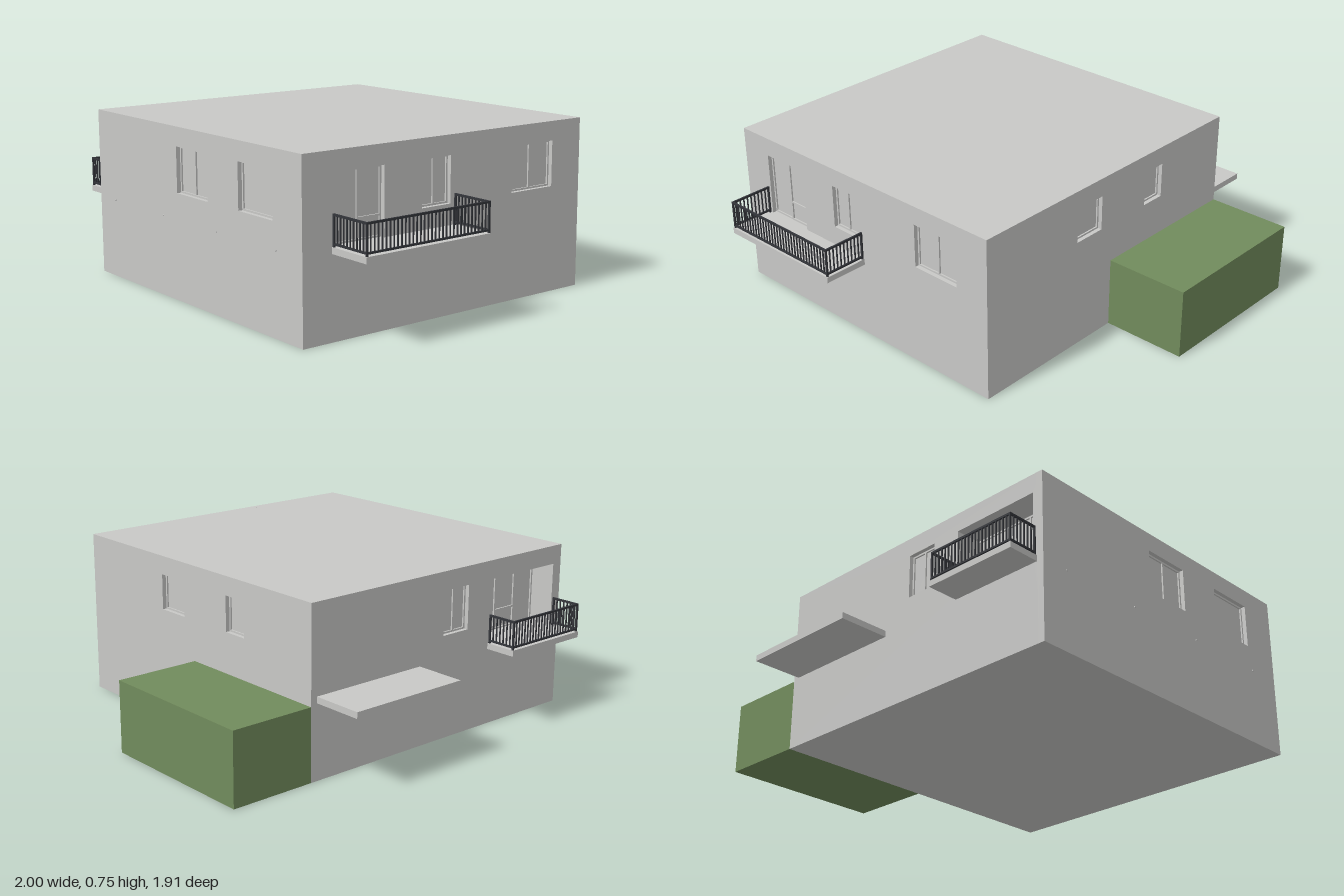
import * as THREE from 'three';

const material = (name, color, side = THREE.FrontSide) => {
  const m = new THREE.MeshStandardMaterial({ color, side });
  m.name = name;
  return m;
};

// Main dimensions
const X0 = -0.765, X1 = 0.785, Z0 = -0.56, Z1 = 0.95, H = 0.755;
const T = 0.03;                       // wall thickness = window reveal
const SLAB_LOW = 0.353, SLAB_TOP = 0.38;

export function createModel() {
  const plaster = material('plaster grey', 0xc8c8c6);
  const green = material('annex green', 0x718b5c);
  const iron = material('railing iron', 0x34363b);
  const model = new THREE.Group();
  model.name = 'house';

  // Box given by its minimum and maximum corners
  const block = (parent, name, mat, x0, x1, y0, y1, z0, z1) => {
    const mesh = new THREE.Mesh(new THREE.BoxGeometry(x1 - x0, y1 - y0, z1 - z0), mat);
    mesh.position.set((x0 + x1) / 2, (y0 + y1) / 2, (z0 + z1) / 2);
    mesh.name = name;
    parent.add(mesh);
    return mesh;
  };

  // Pane with a thin frame, optional mullions (fractions) and transoms (heights)
  const glazing = (parent, u0, u1, y0, y1, z, mullions = [], transoms = []) => {
    const w = 0.008;
    block(parent, 'windowPane', plaster, u0, u1, y0, y1, z, z + 0.004);
    const bar = (a, b, c, d) => block(parent, 'windowFrame', plaster, a, b, c, d, z, z + 0.011);
    bar(u0, u0 + w, y0, y1);
    bar(u1 - w, u1, y0, y1);
    bar(u0, u1, y0, y0 + w);
    bar(u0, u1, y1 - w, y1);
    for (const f of mullions) {
      const u = u0 + (u1 - u0) * f;
      bar(u - w / 2, u + w / 2, y0, y1);
    }
    for (const [a, b, y] of transoms) bar(u0 + (u1 - u0) * a, u0 + (u1 - u0) * b, y - w / 2, y + w / 2);
  };

  // Facade with openings; local x runs along the wall, local z points outward
  const facade = (name, u0, u1, position, angle, openings) => {
    const group = new THREE.Group();
    group.name = name;
    const shape = new THREE.Shape([[u0, 0], [u1, 0], [u1, H], [u0, H]].map(p => new THREE.Vector2(...p)));
    for (const o of openings) {
      shape.holes.push(new THREE.Path(
        [[o.u0, o.y0], [o.u0, o.y1], [o.u1, o.y1], [o.u1, o.y0]].map(p => new THREE.Vector2(...p))));
      if (!o.open) glazing(group, o.u0, o.u1, o.y0, o.y1, 0, o.mullions, o.transoms);
    }
    const wall = new THREE.Mesh(new THREE.ExtrudeGeometry(shape, { depth: T, bevelEnabled: false }), plaster);
    wall.name = name + 'Wall';
    group.add(wall);
    group.position.set(...position);
    group.rotation.y = angle;
    model.add(group);
    return group;
  };

  const front = facade('front', X0, X1, [0, 0, Z1 - T], 0, [
    { u0: -0.1, u1: 0.135, y0: 0.47, y1: 0.67, mullions: [0.5] },
    { u0: 0.36, u1: 0.595, y0: 0.47, y1: 0.67 },
  ]);
  facade('back', -X1, -X0, [0, 0, Z0 + T], Math.PI, [
    { u0: -0.235, u1: -0.075, y0: 0.51, y1: 0.67 },
    { u0: 0.22, u1: 0.34, y0: 0.51, y1: 0.67 },
  ]);
  facade('left', -Z1, -Z0, [X1 - T, 0, 0], Math.PI / 2, [
    { u0: -0.79, u1: -0.55, y0: SLAB_TOP, y1: 0.67, mullions: [0.5], transoms: [[0.5, 1, 0.47]] },
    { u0: -0.355, u1: -0.2, y0: 0.47, y1: 0.67, mullions: [0.5] },
    { u0: 0.15, u1: 0.39, y0: 0.47, y1: 0.67, mullions: [0.5] },
  ]);
  const right = facade('right', Z0, Z1, [X0 + T, 0, 0], -Math.PI / 2, [
    { u0: 0.19, u1: 0.34, y0: 0.47, y1: 0.67, mullions: [0.5] },
    { u0: 0.48, u1: 0.9, y0: SLAB_TOP, y1: 0.67, open: true },
  ]);

  // Recessed loggia behind the right balcony
  const D = -0.1, e = 0.01;
  block(right, 'loggiaFloor', plaster, 0.48, 0.9, SLAB_TOP - e, SLAB_TOP, D, 0);
  block(right, 'loggiaCeiling', plaster, 0.48, 0.9, 0.67, 0.67 + e, D, 0);
  block(right, 'loggiaSide', plaster, 0.48 - e, 0.48, SLAB_TOP, 0.67, D, 0);
  block(right, 'loggiaSide', plaster, 0.9, 0.9 + e, SLAB_TOP, 0.67, D, 0);
  glazing(right, 0.48, 0.9, SLAB_TOP, 0.67, D, [0.4, 0.7], [[0.4, 0.7, 0.47]]);

  // Roof and base
  block(model, 'roof', plaster, X0 + T, X1 - T, H - 0.03, H, Z0 + T, Z1 - T);
  block(model, 'base', plaster, X0 + T, X1 - T, 0, 0.03, Z0 + T, Z1 - T);

  // Small wall studs along the front
  for (const x of [-0.63, -0.215, 0.2, 0.615])
    block(front, 'wallStud', plaster, x - 0.003, x + 0.003, 0.352, 0.358, T, T + 0.004);

  // Green annex at the back and entrance canopy on the right
  block(model, 'annex', green, X0, 0.005, 0, 0.325, -0.955, Z0);
  block(model, 'canopy', plaster, -1, X0, 0.335, 0.363, -0.53, 0.05);

  // Balcony: slab plus a railing on three sides
  const balcony = (name, xWall, xOut, z0, z1) => {
    const g = new THREE.Group();
    g.name = name;
    const s = Math.sign(xOut - xWall), r = 0.004;
    block(g, 'balconySlab', plaster, Math.min(xWall, xOut), Math.max(xWall, xOut), SLAB_LOW, SLAB_TOP, z0, z1);
    const xr = xOut - s * 0.007, za = z0 + 0.007, zb = z1 - 0.007;
    const run = (ax, az, bx, bz) => {
      for (const [y0, y1] of [[0.388, 0.396], [0.502, 0.511]])
        block(g, 'rail', iron, Math.min(ax, bx) - r, Math.max(ax, bx) + r, y0, y1, Math.min(az, bz) - r, Math.max(az, bz) + r);
      const n = Math.round(Math.hypot(bx - ax, bz - az) / 0.019);
      for (let i = 0; i <= n; i++) {
        const x = ax + (bx - ax) * i / n, z = az + (bz - az) * i / n;
        const h = i === 0 || i === n ? r : 0.0025;
        block(g, 'baluster', iron, x - h, x + h, i === 0 || i === n ? SLAB_TOP : 0.39, 0.506, z - h, z + h);
      }
    };
    run(xr, za, xr, zb);
    run(xWall + s * 0.006, za, xr, za);
    run(xWall + s * 0.006, zb, xr, zb);
    model.add(g);
  };
  balcony('leftBalcony', X1, 0.995, 0.17, 0.81);
  balcony('rightBalcony', X0, -0.913, 0.473, 0.917);

  return model;
}
